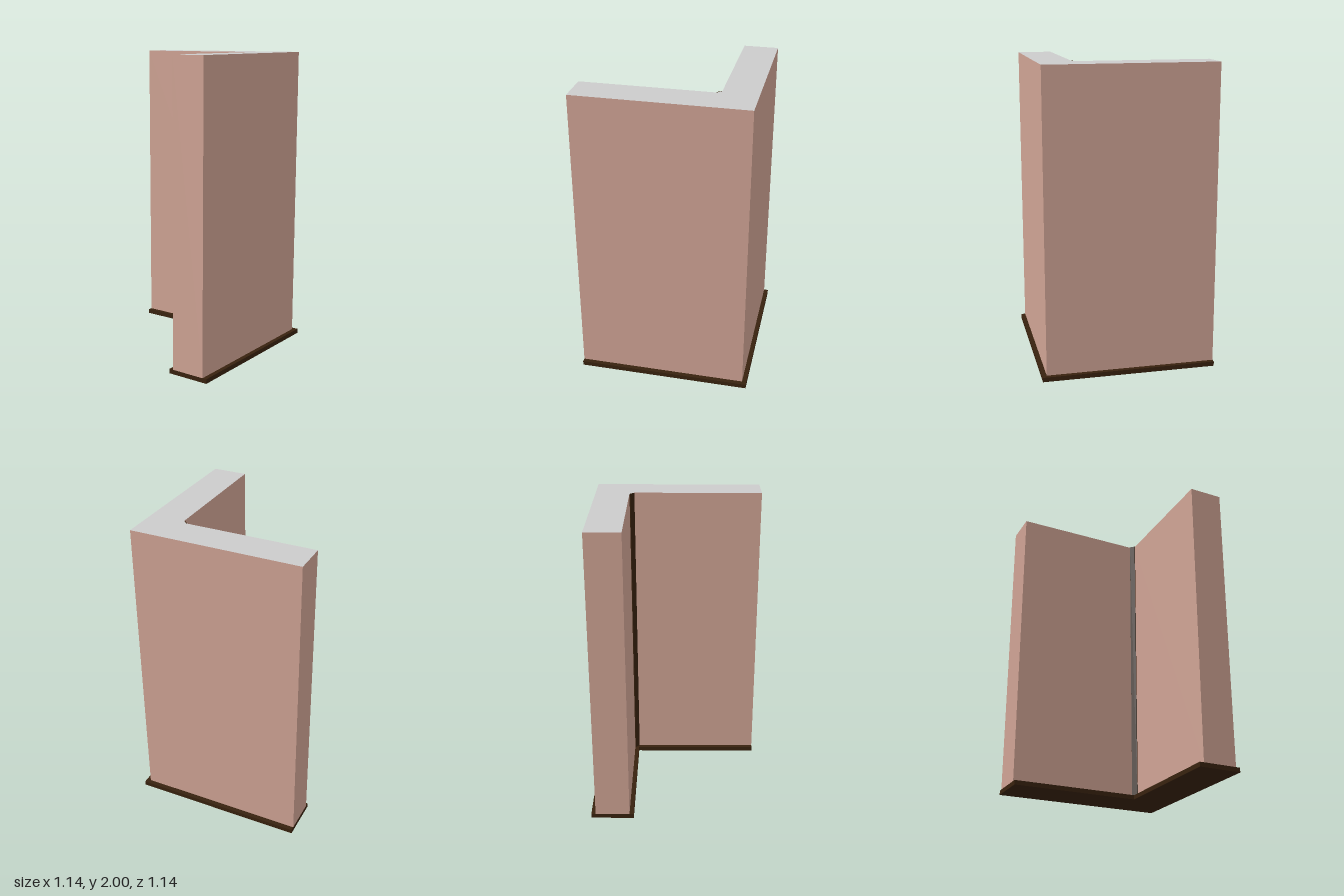
import * as THREE from 'three';

const mat = (name, color) => {
  const m = new THREE.MeshStandardMaterial({ color });
  m.name = name;
  return m;
};

// Extrudes a floor-plan outline of [x, z] points from y0 up to y1.
function prism(name, plan, y0, y1, material) {
  const shape = new THREE.Shape(plan.map(([x, z]) => new THREE.Vector2(x, -z)));
  const geo = new THREE.ExtrudeGeometry(shape, { depth: y1 - y0, bevelEnabled: false });
  geo.rotateX(-Math.PI / 2).translate(0, y0, 0);
  const mesh = new THREE.Mesh(geo, material);
  mesh.name = name;
  return mesh;
}

export function createModel() {
  const plaster = mat('pink plaster', 0xcfa394);
  const top = mat('grey wall top', 0xcccccc);
  const wood = mat('dark wood', 0x38220e);

  const end = 0.572;      // open ends and outer edge of the baseboard
  const outer = 0.543;    // outer wall faces
  const inner = 0.315;    // inner wall faces
  const lip = 0.286;      // inner edge of the baseboard
  const baseTop = 0.03;
  const t = 0.005;        // corner trim thickness along each axis

  const group = new THREE.Group();
  group.name = 'cornerWall';

  // L-shaped wall, chamfered at the inner corner
  group.add(prism('wall', [
    [-end, -outer], [outer, -outer], [outer, end], [inner, end],
    [inner, -lip], [lip, -inner], [-end, -inner],
  ], baseTop, 2, [top, plaster]));

  // Baseboard under the whole wall, projecting on both sides
  group.add(prism('baseboard', [
    [-end, -end], [end, -end], [end, end], [lip, end], [lip, -lip], [-end, -lip],
  ], 0, baseTop, wood));

  // Full-height trim strip across the inner corner
  group.add(prism('cornerTrim', [
    [lip, -inner], [inner, -lip], [inner - t, -lip + t / 2], [lip - t / 2, -inner + t],
  ], baseTop, 2, wood));

  return group;
}
